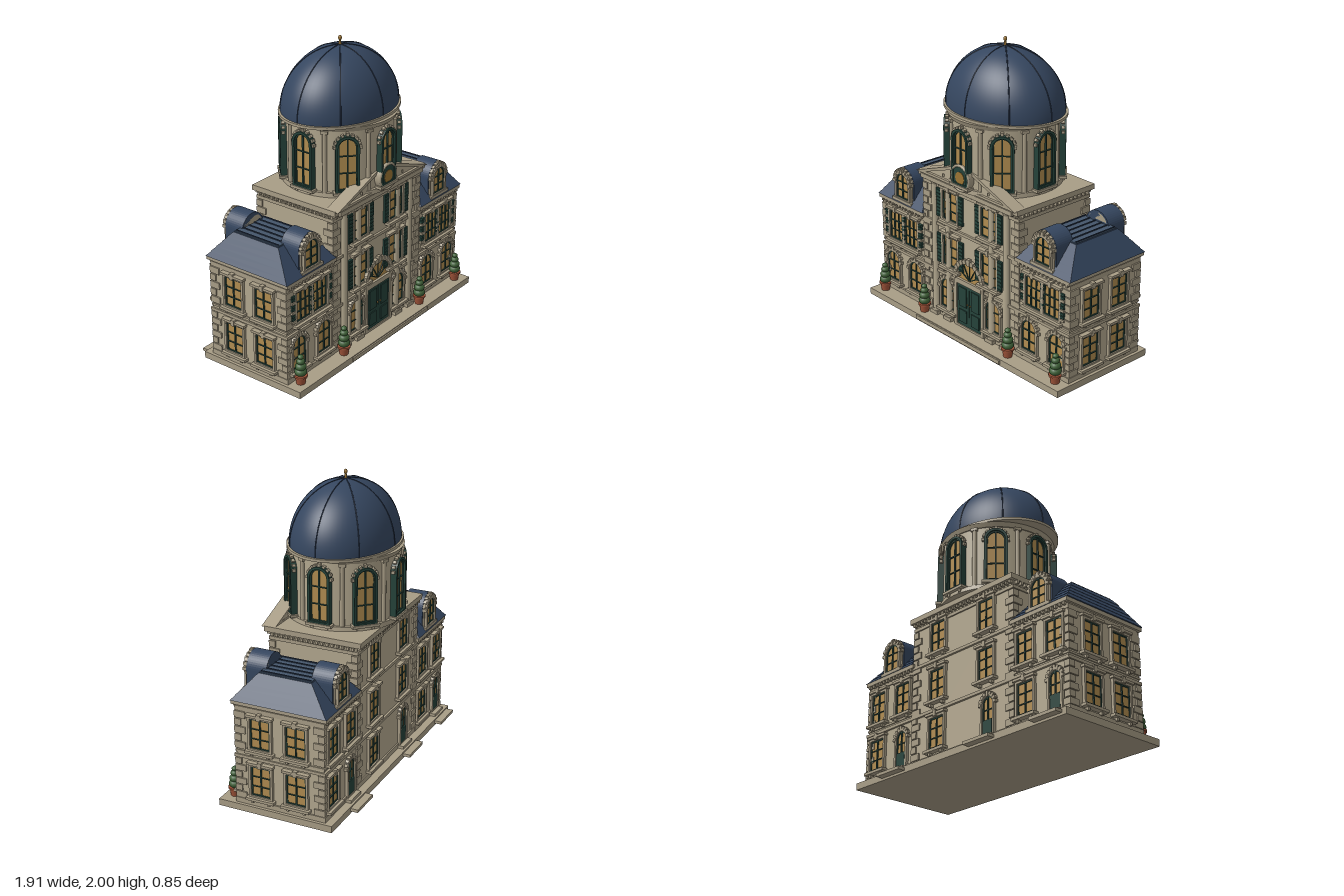
import * as THREE from 'three';

const mat = (color, double) => new THREE.MeshStandardMaterial({ color, side: double ? THREE.DoubleSide : THREE.FrontSide });
const WALL = mat(0xb3a88f), TRIM = mat(0xa89d86), SLATE = mat(0x35465f), SEAM = mat(0x27344a), ROOFTOP = mat(0x44566b),
  GLASS = mat(0xb08c50), GREEN = mat(0x25423a), LEAF = mat(0x3f6138), CLAY = mat(0xa2553a), GOLD = mat(0x9a7434);
const PI = Math.PI, SIDES = [-1, 1];

function put(parent, name, geo, m, x = 0, y = 0, z = 0) {
  const mesh = new THREE.Mesh(geo, m);
  mesh.name = name;
  mesh.position.set(x, y, z);
  parent.add(mesh);
  return mesh;
}
const box = (p, name, m, w, h, d, x, y, z) => put(p, name, new THREE.BoxGeometry(w, h, d), m, x, y, z);
const cyl = (p, name, m, rt, rb, h, x, y, z, n = 24) => put(p, name, new THREE.CylinderGeometry(rt, rb, h, n), m, x, y + h / 2, z);
function group(parent, name, x = 0, y = 0, z = 0, ry = 0) {
  const g = new THREE.Group();
  g.name = name;
  g.position.set(x, y, z);
  g.rotation.y = ry;
  parent.add(g);
  return g;
}

// Outline with a flat or half-round head
function outline(C, w, y0, y1, round) {
  const s = new C(), r = w / 2;
  s.moveTo(-r, y0);
  s.lineTo(r, y0);
  if (round) { s.lineTo(r, y1 - r); s.absarc(0, y1 - r, r, 0, PI, false); }
  else { s.lineTo(r, y1); s.lineTo(-r, y1); }
  s.closePath();
  return s;
}
const extrude = (s, depth) => new THREE.ExtrudeGeometry(s, { depth, bevelEnabled: false, curveSegments: 12 });
function ring(w, h, round, t, depth) {
  const s = outline(THREE.Shape, w + 2 * t, -t, h + t, round);
  s.holes.push(outline(THREE.Path, w, 0, h, round));
  return extrude(s, depth);
}
// Wedge stones around an arch
function voussoirs(p, r, cy, z, n, size) {
  for (let i = 0; i <= n; i++) {
    const a = (PI * i) / n, big = i === n / 2 ? 1.5 : 1;
    const b = box(p, 'archStone', TRIM, size * big, size * 0.8, 0.022, Math.cos(a) * r, cy + Math.sin(a) * r, z);
    b.rotation.z = a;
  }
}

// Window facing +z, origin at the middle of its sill
function addWindow(parent, w, h, x, y, z, ry, o = {}) {
  const { round = false, shutters = false, surround = TRIM, depth = 0.03, sill = true, cols = 2, door = false } = o;
  const g = group(parent, door ? 'backDoor' : round ? 'archedWindow' : 'window', x, y, z, ry);
  put(g, 'surround', ring(w, h, round, 0.016, depth), surround, 0, 0, -0.01);
  put(g, 'glass', extrude(outline(THREE.Shape, w, 0, h, round), depth * 0.5), GLASS, 0, 0, -0.01);
  const f = depth * 0.7 - 0.01;
  put(g, 'sash', ring(w - 0.016, h - 0.016, round, 0.008, depth * 0.7), GREEN, 0, 0.008, -0.01);
  for (let i = 1; i < cols; i++) box(g, 'mullion', GREEN, 0.009, h - 0.01, 0.01, -w / 2 + (w * i) / cols, h / 2, f - 0.003);
  for (const k of [0.33, 0.66]) box(g, 'glazingBar', GREEN, w - 0.008, 0.006, 0.01, 0, h * k, f - 0.004);
  if (door) box(g, 'doorLeaf', GREEN, w - 0.01, h * 0.4, 0.012, 0, h * 0.2, f);
  if (sill) {
    box(g, 'sill', TRIM, w + 0.06, 0.018, 0.05, 0, -0.02, 0.015);
    for (const s of SIDES) box(g, 'sillBracket', TRIM, 0.018, 0.02, 0.03, s * w * 0.42, -0.038, 0.01);
  }
  if (round) voussoirs(g, w / 2 + 0.018, h - w / 2, 0.011, 8, 0.024);
  else {
    box(g, 'lintel', TRIM, w + 0.05, 0.016, 0.04, 0, h + 0.022, 0.012);
    box(g, 'keystone', TRIM, 0.026, 0.04, 0.045, 0, h + 0.022, 0.012);
  }
  if (shutters) for (const s of SIDES) {
    box(g, 'shutter', GREEN, 0.042, h, 0.014, s * (w / 2 + 0.038), h / 2, 0.012);
    for (let i = 0; i < 8; i++) box(g, 'louvre', GREEN, 0.032, 0.006, 0.006, s * (w / 2 + 0.038), h * (i + 0.5) / 8, 0.021);
  }
  return g;
}

// Alternating corner stones
function quoins(p, x, z, y0, y1) {
  const n = Math.round((y1 - y0) / 0.05), h = (y1 - y0) / n;
  for (let i = 0; i < n; i++) {
    const w = i % 2 ? 0.045 : 0.075;
    box(p, 'cornerStone', TRIM, w, h * 0.86, w, x - Math.sign(x) * (w / 2 - 0.01), y0 + (i + 0.5) * h, z - Math.sign(z) * (w / 2 - 0.01));
  }
}
function dentils(p, x0, x1, y, z) {
  const n = Math.round((x1 - x0) / 0.035);
  for (let i = 0; i <= n; i++) box(p, 'dentil', TRIM, 0.015, 0.02, 0.026, x0 + ((x1 - x0) * i) / n, y, z);
}

// Box whose top is narrowed to a different rectangle
function frustum(w0, d0, w1, d1, h) {
  const g = new THREE.BoxGeometry(w0, h, d0), p = g.attributes.position;
  for (let i = 0; i < p.count; i++) if (p.getY(i) > 0) p.setXYZ(i, p.getX(i) * w1 / w0, h / 2, p.getZ(i) * d1 / d0);
  g.computeVertexNormals();
  return g;
}

function addWing(house, s) {
  const g = group(house, s > 0 ? 'leftWing' : 'rightWing'), cx = s * 0.69;
  box(g, 'wingWall', WALL, 0.45, 0.69, 0.6, cx, 0.39, 0);
  box(g, 'plinth', TRIM, 0.47, 0.035, 0.625, cx, 0.062, 0);
  box(g, 'beltCourse', TRIM, 0.47, 0.02, 0.63, cx, 0.372, 0);
  box(g, 'sillCourse', TRIM, 0.462, 0.014, 0.615, cx, 0.405, 0);
  box(g, 'frieze', TRIM, 0.46, 0.03, 0.615, cx, 0.695, 0);
  box(g, 'eaves', TRIM, 0.48, 0.025, 0.655, cx, 0.732, 0);
  for (const z of SIDES) {
    for (const [a, b] of [[0.08, 0.36], [0.42, 0.68]]) quoins(g, s * 0.915, z * 0.3, a, b);
    dentils(g, cx - 0.21, cx + 0.21, 0.71, z * 0.312);
  }
  // Mansard roof in overlapping slate courses
  const N = 5, lerp = THREE.MathUtils.lerp;
  for (let i = 0; i < N; i++) {
    const a = i / N, b = (i + 1) / N, k = 0.008;
    put(g, 'slateCourse', frustum(lerp(0.47, 0.28, a) + k, lerp(0.65, 0.36, a) + k, lerp(0.47, 0.28, b), lerp(0.65, 0.36, b), 0.17 / N),
      SLATE, s * lerp(0.7, 0.695, a), 0.745 + 0.17 * (i + 0.5) / N, 0);
  }
  box(g, 'roofTop', ROOFTOP, 0.27, 0.01, 0.35, s * 0.695, 0.917, 0);
  for (let i = 0; i < 6; i++) box(g, 'roofSeam', SEAM, 0.007, 0.012, 0.34, s * 0.695 - 0.125 + i * 0.05, 0.922, 0);
  // Barrel dormers, front and back
  for (const f of SIDES) {
    const d = group(g, 'dormer', s * 0.685, 0.755, 0, f > 0 ? 0 : PI);
    put(d, 'dormerVault', extrude(outline(THREE.Shape, 0.2, 0, 0.24, true), 0.14), SLATE, 0, 0, 0.155);
    put(d, 'dormerFace', extrude(outline(THREE.Shape, 0.18, 0, 0.228, true), 0.15), TRIM, 0, 0, 0.155);
    addWindow(d, 0.125, 0.18, 0, 0.02, 0.302, 0, { round: true, sill: false });
    voussoirs(d, 0.085, 0.14, 0.305, 10, 0.026);
    box(d, 'dormerSill', TRIM, 0.2, 0.02, 0.05, 0, 0.005, 0.3);
  }
  // Windows on the front, back and outer side
  for (const x of [0.565, 0.81]) {
    addWindow(g, 0.125, 0.215, s * x, 0.125, 0.3, 0, { round: true });
    addWindow(g, 0.13, 0.2, s * x, 0.445, -0.3, PI);
    const isDoor = s > 0 ? x < 0.6 : x > 0.6;
    if (isDoor) addWindow(g, 0.09, 0.24, s * x, 0.075, -0.3, PI, { round: true, door: true, sill: false });
    else addWindow(g, 0.13, 0.2, s * x, 0.12, -0.3, PI);
  }
  for (const x of [0.604, 0.766]) addWindow(g, 0.135, 0.205, s * x, 0.445, 0.3, 0, { cols: 3 });
  for (const x of [0.505, 0.685, 0.865]) for (let i = 0; i < 9; i++)
    box(g, 'shutterLouvre', i % 3 ? GREEN : TRIM, 0.03, 0.016, 0.02, s * x, 0.46 + i * 0.022, 0.31);
  for (const z of [-0.115, 0.13]) for (const y of [0.12, 0.445]) addWindow(g, 0.135, 0.2, s * 0.915, y, z, s * PI / 2);
}

function addCentre(house) {
  const g = group(house, 'centralBlock');
  box(g, 'centralWall', WALL, 0.92, 0.99, 0.6, 0, 0.54, 0);
  for (const y of [0.372, 0.715]) box(g, 'beltCourse', TRIM, 0.93, 0.02, 0.63, 0, y, 0);
  box(g, 'plinth', TRIM, 0.93, 0.035, 0.62, 0, 0.062, 0);
  box(g, 'architrave', TRIM, 0.935, 0.022, 0.62, 0, 0.985, 0);
  box(g, 'cornice', TRIM, 0.96, 0.035, 0.67, 0, 1.045, 0);
  for (const z of SIDES) {
    dentils(g, -0.45, 0.45, 1.015, z * 0.315);
    for (const x of SIDES) quoins(g, x * 0.46, z * 0.3, 0.08, 0.97);
  }
  for (const x of SIDES) for (let i = 0; i < 17; i++) box(g, 'dentil', TRIM, 0.026, 0.02, 0.015, x * 0.47, 1.015, -0.28 + i * 0.035);
  // Windows
  for (const x of SIDES) {
    addWindow(g, 0.14, 0.21, x * 0.19, 0.445, 0.3, 0, { shutters: true });
    addWindow(g, 0.14, 0.2, x * 0.19, 0.775, 0.3, 0, { shutters: true });
    addWindow(g, 0.13, 0.215, x * 0.225, 0.125, 0.3, 0, { round: true });
    for (const y of [0.445, 0.775]) addWindow(g, 0.13, 0.2, x * 0.225, y, -0.3, PI);
  }
  addWindow(g, 0.13, 0.2, 0.225, 0.12, -0.3, PI);
  addWindow(g, 0.09, 0.25, -0.245, 0.07, -0.3, PI, { round: true, door: true, sill: false });
  // Front columns
  for (const x of [-0.35, -0.21, 0.21, 0.35]) {
    const c = group(g, 'column', x, 0, 0.302);
    box(c, 'columnBase', TRIM, 0.075, 0.025, 0.07, 0, 0.058, 0);
    cyl(c, 'columnTorus', TRIM, 0.031, 0.034, 0.015, 0, 0.07, 0);
    cyl(c, 'columnShaft', WALL, 0.024, 0.028, 0.93, 0, 0.08, 0);
    cyl(c, 'capital', TRIM, 0.036, 0.025, 0.025, 0, 0.99, 0);
    box(c, 'abacus', TRIM, 0.075, 0.018, 0.07, 0, 1.022, 0);
  }
  // Entrance with fanlight
  const d = group(g, 'entrance', 0, 0.06, 0.3);
  put(d, 'doorSurround', ring(0.24, 0.465, true, 0.025, 0.035), TRIM, 0, 0, -0.01);
  put(d, 'fanlight', extrude(outline(THREE.Shape, 0.24, 0.3, 0.465, true), 0.015), GLASS, 0, 0, -0.005);
  voussoirs(d, 0.137, 0.345, 0.018, 12, 0.032);
  box(d, 'transom', TRIM, 0.25, 0.035, 0.035, 0, 0.32, 0.01);
  for (const a of [0.5, 1.04, PI / 2, 2.1, 2.64])
    box(d, 'fanBar', GREEN, 0.11, 0.006, 0.01, Math.cos(a) * 0.06, 0.345 + Math.sin(a) * 0.06, 0.011).rotation.z = a;
  for (const x of SIDES) {
    box(d, 'doorLeaf', GREEN, 0.117, 0.31, 0.03, x * 0.06, 0.15, 0.003);
    for (const [y, h] of [[0.07, 0.09], [0.21, 0.14]]) box(d, 'doorPanel', GREEN, 0.075, h, 0.008, x * 0.062, y, 0.02);
    put(d, 'doorKnob', new THREE.SphereGeometry(0.006, 10, 8), GOLD, x * 0.014, 0.17, 0.024);
  }
  // Pediment and medallion
  const tri = (C, w, y0, y1) => { const s = new C(); s.moveTo(-w, y0); s.lineTo(w, y0); s.lineTo(0, y1); s.closePath(); return s; };
  box(g, 'entablature', TRIM, 0.88, 0.03, 0.1, 0, 1.035, 0.3);
  put(g, 'pediment', extrude(tri(THREE.Shape, 0.47, 1.06, 1.225), 0.075), WALL, 0, 0, 0.262);
  const rake = tri(THREE.Shape, 0.48, 1.058, 1.23);
  rake.holes.push(tri(THREE.Path, 0.38, 1.075, 1.205));
  put(g, 'pedimentMoulding', extrude(rake, 0.095), TRIM, 0, 0, 0.26);
  const m = group(g, 'medallion', 0, 1.15, 0.35);
  [[0.09, TRIM, 0.06], [0.08, GREEN, 0.068], [0.042, GOLD, 0.074]].forEach(([r, c, h]) => {
    put(m, 'medallionDisc', new THREE.CylinderGeometry(r, r, h, 32), c).rotation.x = PI / 2;
  });
  put(m, 'medallionRim', new THREE.TorusGeometry(0.083, 0.009, 8, 32), TRIM, 0, 0, 0.032);
}

function addDome(house) {
  const g = group(house, 'domeTower');
  cyl(g, 'drum', WALL, 0.355, 0.355, 0.45, 0, 1.06, 0, 64);
  cyl(g, 'drumBase', TRIM, 0.375, 0.38, 0.03, 0, 1.06, 0, 64);
  cyl(g, 'drumCornice', TRIM, 0.375, 0.362, 0.03, 0, 1.5, 0, 64);
  for (let i = 0; i < 8; i++) {
    const a = (i * PI) / 4, b = a + PI / 8;
    addWindow(g, 0.12, 0.345, Math.sin(a) * 0.358, 1.115, Math.cos(a) * 0.358, a, { round: true, surround: GREEN, depth: 0.042 });
    cyl(g, 'drumColonnette', TRIM, 0.014, 0.016, 0.41, Math.sin(b) * 0.358, 1.09, Math.cos(b) * 0.358, 12);
    const bl = box(g, 'colonnetteCap', TRIM, 0.045, 0.02, 0.03, Math.sin(b) * 0.36, 1.492, Math.cos(b) * 0.36);
    bl.rotation.y = b;
  }
  cyl(g, 'domeRing', TRIM, 1, 1, 0.018, 0, 1.53, 0, 64).scale.set(0.445, 1, 0.352);
  const R = [0.428, 0.395, 0.34];
  put(g, 'dome', new THREE.SphereGeometry(1, 64, 24, 0, 2 * PI, 0, PI / 2), SLATE, 0, 1.546, 0).scale.set(...R);
  for (let i = 0; i < 8; i++) {
    const a = (i * PI) / 4, pts = [];
    for (let j = 0; j <= 12; j++) {
      const t = (j / 12) * PI / 2;
      pts.push(new THREE.Vector3(Math.cos(a) * Math.cos(t) * R[0], Math.sin(t) * R[1], Math.sin(a) * Math.cos(t) * R[2]));
    }
    put(g, 'domeRib', new THREE.TubeGeometry(new THREE.CatmullRomCurve3(pts), 24, 0.004, 6), SEAM, 0, 1.546, 0);
  }
  cyl(g, 'finialStem', GOLD, 0.006, 0.01, 0.04, 0, 1.935, 0, 12);
  put(g, 'finialBall', new THREE.SphereGeometry(0.012, 12, 10), GOLD, 0, 1.984, 0).scale.y = 1.35;
}

export function createModel() {
  const root = new THREE.Group();
  root.name = 'mansion';
  // Terrace and steps
  box(root, 'terrace', TRIM, 1.89, 0.045, 0.79, 0, 0.0225, 0.02);
  box(root, 'frontStep', TRIM, 0.84, 0.027, 0.06, 0, 0.025, 0.395);
  for (const x of [-0.8, -0.245, 0.57]) {
    box(root, 'backStep', TRIM, 0.22, 0.02, 0.06, x, 0.025, -0.395);
    box(root, 'backThreshold', TRIM, 0.14, 0.02, 0.06, x, 0.055, -0.33);
  }
  const house = group(root, 'house', 0, 0, -0.01);
  addCentre(house);
  for (const s of SIDES) addWing(house, s);
  addDome(house);
  // Clipped shrubs in pots
  for (const x of [-0.855, -0.42, 0.42, 0.855]) {
    const p = group(root, 'pottedShrub', x, 0.045, 0.348);
    cyl(p, 'pot', CLAY, 0.038, 0.028, 0.055, 0, 0, 0);
    cyl(p, 'potRim', CLAY, 0.043, 0.043, 0.012, 0, 0.05, 0);
    [[0.04, 0.083], [0.036, 0.12], [0.028, 0.156], [0.02, 0.187]].forEach(([r, y]) =>
      put(p, 'foliage', new THREE.SphereGeometry(r, 16, 10), LEAF, 0, y, 0).scale.y = 0.75);
  }
  return root;
}
